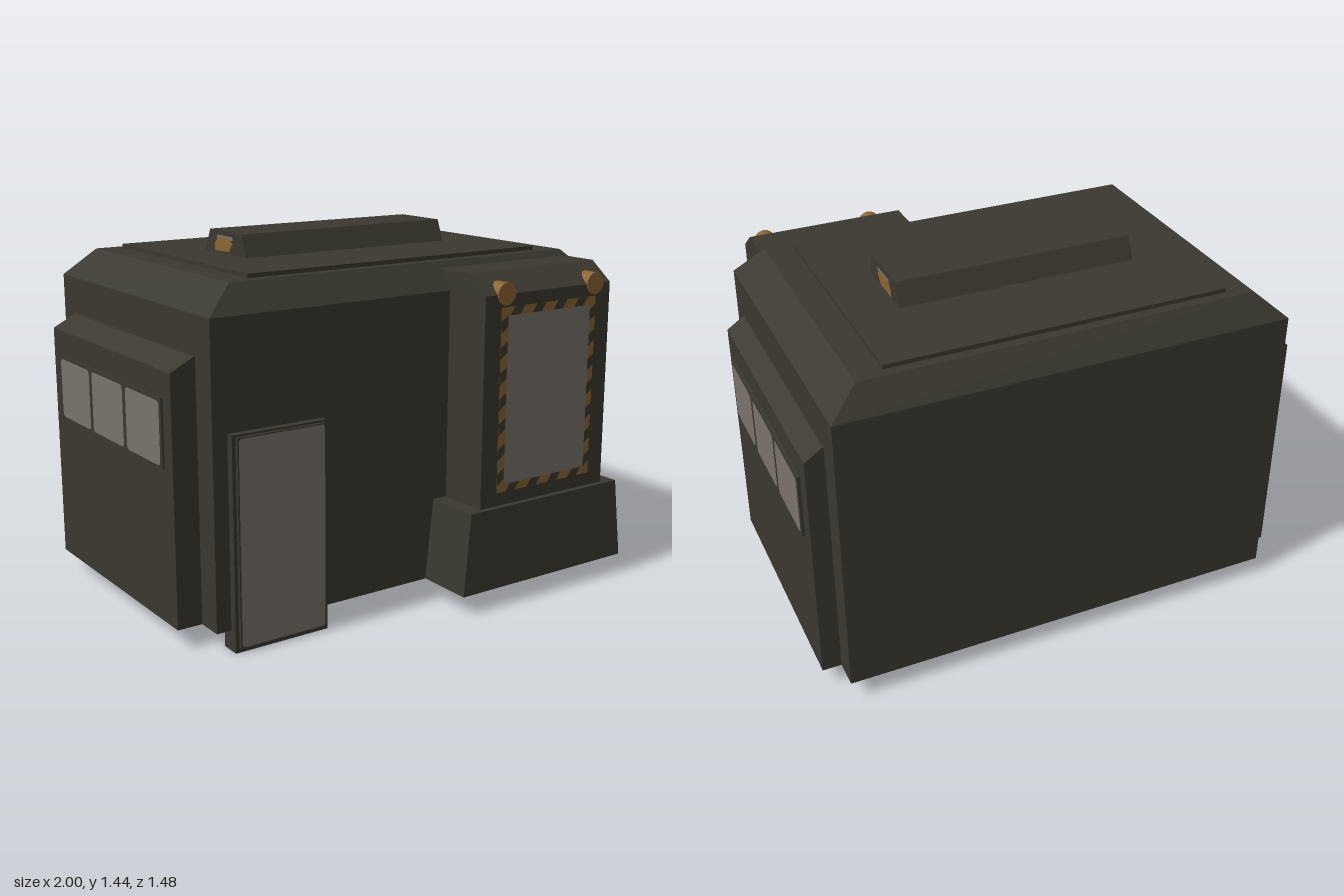
import * as THREE from 'three';

const mat = (name, color, side = THREE.DoubleSide) => {
  const m = new THREE.MeshStandardMaterial({ color, side });
  m.name = name;
  return m;
};

export function createModel() {
  const root = new THREE.Group();
  root.name = 'cabin';
  const shell = mat('dark olive shell', 0x3a382f);
  const glass = mat('grey glass', 0x7a736b);
  const amber = mat('amber', 0x8c6530);

  const add = (name, geo, material, parent = root) => {
    const mesh = new THREE.Mesh(geo, material);
    mesh.name = name;
    parent.add(mesh);
    return mesh;
  };
  const box = (name, x0, x1, y0, y1, z0, z1, material, parent) => {
    const g = new THREE.BoxGeometry(x1 - x0, y1 - y0, z1 - z0);
    g.translate((x0 + x1) / 2, (y0 + y1) / 2, (z0 + z1) / 2);
    return add(name, g, material, parent);
  };

  // Stacked rectangles [y, x0, x1, z0, z1]: flat walls, closed top, open bottom
  const loft = (name, rings, material = shell) => {
    const pos = [];
    const r = rings.map(([y, x0, x1, z0, z1]) => [[x0, y, z1], [x1, y, z1], [x1, y, z0], [x0, y, z0]]);
    const quad = (a, b, c, d) => pos.push(...a, ...b, ...c, ...a, ...c, ...d);
    for (let k = 0; k < r.length - 1; k++) {
      for (let i = 0; i < 4; i++) {
        const j = (i + 1) % 4;
        quad(r[k][i], r[k][j], r[k + 1][j], r[k + 1][i]);
      }
    }
    quad(...r[r.length - 1]);
    const g = new THREE.BufferGeometry();
    g.setAttribute('position', new THREE.Float32BufferAttribute(pos, 3));
    g.computeVertexNormals();
    return add(name, g, material);
  };

  // Flat pane with rounded corners in the xy plane, centred on its own origin
  const pane = (w, h, r) => {
    const s = new THREE.Shape();
    const a = w / 2, b = h / 2;
    s.moveTo(-a + r, -b);
    s.lineTo(a - r, -b);
    s.quadraticCurveTo(a, -b, a, -b + r);
    s.lineTo(a, b - r);
    s.quadraticCurveTo(a, b, a - r, b);
    s.lineTo(-a + r, b);
    s.quadraticCurveTo(-a, b, -a, b - r);
    s.lineTo(-a, -b + r);
    s.quadraticCurveTo(-a, -b, -a + r, -b);
    return new THREE.ShapeGeometry(s, 4);
  };

  // Main hull with chamfered roof edge
  loft('mainHull', [
    [0.08, -0.89, 0.91, -0.74, 0.5],
    [1.235, -0.89, 0.91, -0.74, 0.5],
    [1.34, -0.77, 0.795, -0.67, 0.43],
  ]);
  box('roofPlate', -0.67, 0.685, 1.335, 1.356, -0.63, 0.385, shell);

  // Roof vent with amber panels at both ends
  loft('roofVent', [
    [1.355, -0.47, 0.49, -0.28, 0.04],
    [1.443, -0.47, 0.49, -0.24, 0.005],
  ]);
  const endShape = (pts) => new THREE.ShapeGeometry(new THREE.Shape(pts.map(([z, y]) => new THREE.Vector2(-z, y))));
  for (const side of [-1, 1]) {
    const x = side > 0 ? 0.493 : -0.473;
    const parts = [
      ['ventLight', [[-0.06, 1.4], [-0.09, 1.365], [-0.2, 1.362], [-0.2, 1.39], [-0.175, 1.415], [-0.08, 1.415]], amber],
      ['ventGlass', [[-0.06, 1.412], [-0.18, 1.412], [-0.18, 1.426], [-0.06, 1.426]], glass],
    ];
    for (const [name, pts, material] of parts) {
      const m = add(name, endShape(pts), material);
      m.rotation.y = Math.PI / 2;
      m.position.x = x;
    }
  }

  // Side pods, each with a framed strip of three windows
  for (const side of [-1, 1]) {
    const inner = side > 0 ? 0.91 : -0.89;
    const outer = side > 0 ? 0.985 : -0.99;
    const span = (a, b) => [Math.min(a, b), Math.max(a, b)];
    const wall = span(inner, outer);
    loft('sidePod', [
      [0.08, ...wall, -0.63, 0.39],
      [1.037, ...wall, -0.63, 0.39],
      [1.085, ...span(inner, inner + side * 0.005), -0.63, 0.39],
    ]);
    const face = side > 0 ? 0.996 : -0.998;
    box('sideWindowFrame', ...span(outer - side * 0.01, face), 0.678, 0.938, -0.56, 0.327, shell);
    for (const z of [0.179, -0.118, -0.413]) {
      const m = add('sideWindow', pane(0.27, 0.24, 0.02), glass);
      m.rotation.y = side * Math.PI / 2;
      m.position.set(face + side * 0.002, 0.805, z);
    }
  }

  // Door: frame, raised leaf and glazed face
  box('doorFrame', -0.83, -0.43, 0, 0.82, 0.45, 0.53, shell);
  box('doorLeaf', -0.815, -0.445, 0.02, 0.812, 0.525, 0.543, shell);
  add('doorGlass', pane(0.362, 0.785, 0.015), glass).position.set(-0.63, 0.416, 0.546);

  // Front bay and its flared skirt
  loft('frontBay', [
    [0.08, 0.16, 0.805, 0.49, 0.71],
    [1.24, 0.16, 0.805, 0.49, 0.71],
    [1.315, 0.16, 0.805, 0.44, 0.61],
  ]);
  loft('baySkirt', [
    [0.08, 0.062, 0.905, 0.5, 0.74],
    [0.408, 0.097, 0.87, 0.5, 0.733],
  ]);

  // Bay window: amber border, dark slanted dashes, glass
  const bay = new THREE.Group();
  bay.name = 'bayWindow';
  bay.position.set(0.483, 0.826, 0.712);
  root.add(bay);
  const W = 0.49, H = 0.73, B = 0.033;
  add('warningBorder', pane(W, H, 0.004), amber, bay);
  add('bayGlass', pane(W - 2 * B, H - 2 * B, 0.012), glass, bay).position.z = 0.004;
  const dash = (x, y, len, vertical) => {
    const h = len / 2, t = B / 2, k = 0.012;
    const pts = [[-h - k, -t], [h - k, -t], [h + k, t], [-h + k, t]];
    const s = new THREE.Shape(pts.map(([u, v]) => (vertical ? new THREE.Vector2(v, u) : new THREE.Vector2(u, v))));
    add('borderDash', new THREE.ShapeGeometry(s), shell, bay).position.set(x, y, 0.002);
  };
  for (const s of [-1, 1]) {
    for (let i = 0; i < 4; i++) dash(-0.165 + i * 0.11, s * (H - B) / 2, 0.048, false);
    for (let i = 0; i < 7; i++) dash(s * (W - B) / 2, -0.3 + i * 0.1, 0.045, true);
  }

  // Round lamps on the bay's sloped brow
  for (const x of [0.262, 0.722]) {
    const g = new THREE.CylinderGeometry(0.044, 0.044, 0.065, 16);
    g.rotateX(Math.PI / 2);
    add('bayLamp', g, amber).position.set(x, 1.241, 0.682);
  }
  return root;
}
